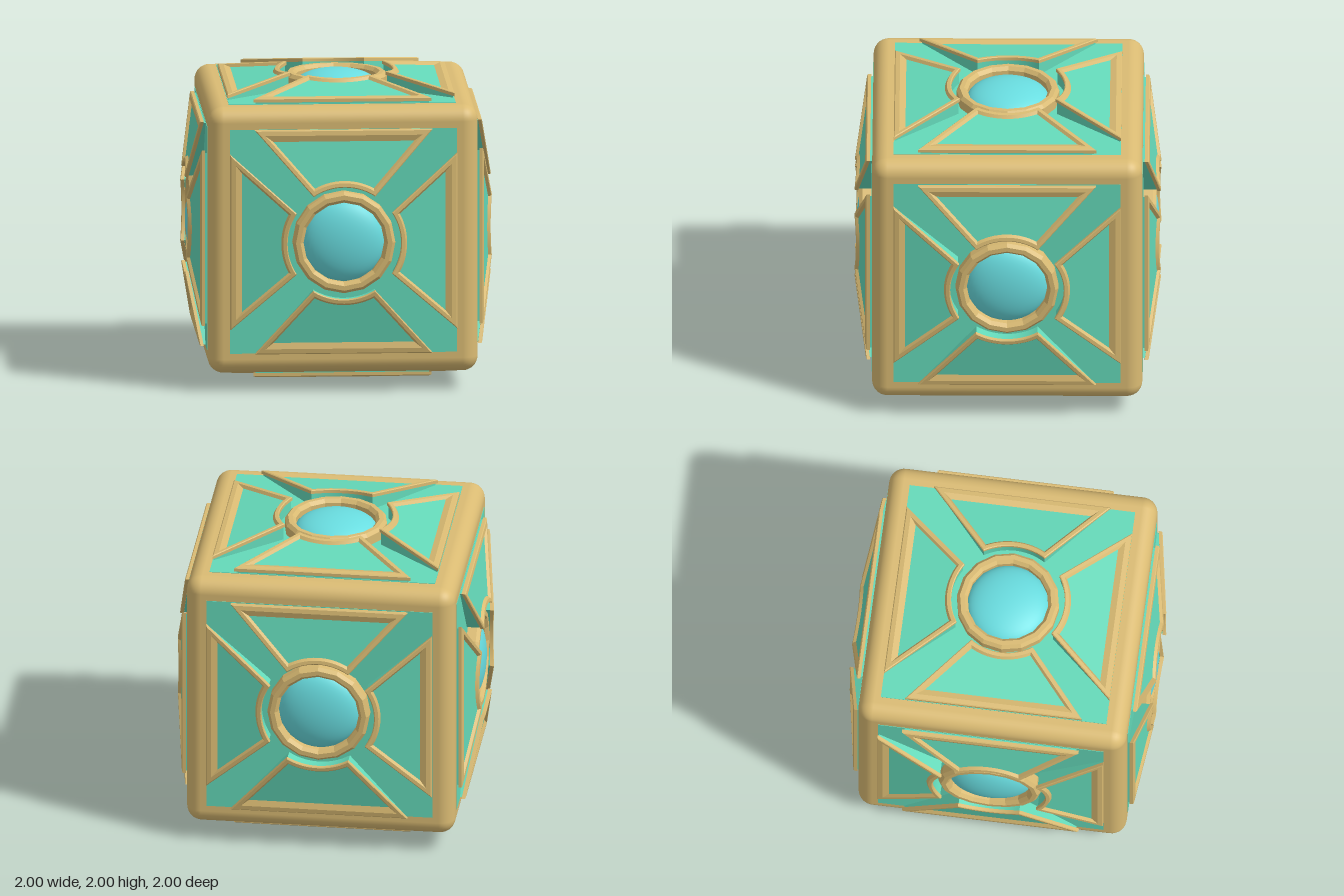
import * as THREE from 'three';
import { RoundedBoxGeometry } from 'three/addons/geometries/RoundedBoxGeometry.js';
import { toCreasedNormals } from 'three/addons/utils/BufferGeometryUtils.js';

const mat = (name, color) => {
  const m = new THREE.MeshStandardMaterial({ color });
  m.name = name;
  return m;
};

const N = 14; // steps along the outer edge and along the inner arc

// Plate outline: straight outer edge, slanted sides, concave inner arc.
// d insets the sides and arc, e insets the outer edge.
function outline(d, e) {
  const nx = 0.749, nz = 0.662, c = -0.0555 - d, R = 0.74 - e, rho = 0.37 + d;
  const half = (c + nz * R) / nx;
  const theta = Math.atan2(nz, nx) + Math.asin(c / rho);
  const pts = [];
  for (let i = 0; i <= N; i++) pts.push([-half + (2 * half * i) / N, R]);
  for (let i = 0; i <= N; i++) {
    const a = theta - (2 * theta * i) / N;
    pts.push([rho * Math.sin(a), rho * Math.cos(a)]);
  }
  return pts;
}

// The plates rise toward the middle of the face
const slope = (z) => 0.92 + (0.74 - z) * 0.186;
const ring = (d, e, lift) => outline(d, e).map(([x, z]) => [x, slope(z) + lift, z]);
const flatRing = (d, e, y) => outline(d, e).map(([x, z]) => [x, y, z]);

function quadsToGeometry(quads) {
  const v = [];
  for (const [a, b, c, d] of quads) v.push(...a, ...b, ...c, ...a, ...c, ...d);
  const g = new THREE.BufferGeometry();
  g.setAttribute('position', new THREE.Float32BufferAttribute(v, 3));
  return toCreasedNormals(g, 0.4);
}

function loft(rings) {
  const quads = [];
  for (let i = 0; i + 1 < rings.length; i++) {
    const p = rings[i], q = rings[i + 1];
    p.forEach((_, j) => {
      const k = (j + 1) % p.length;
      quads.push([p[j], p[k], q[k], q[j]]);
    });
  }
  return quads;
}

function cap(r) {
  const quads = [];
  const last = 2 * N + 1;
  for (let i = 0; i < N; i++) quads.push([r[i], r[i + 1], r[last - i - 1], r[last - i]]);
  return quads;
}

export function createModel() {
  const gold = mat('gold', 0xdabb73);
  const teal = mat('teal', 0x64d9b9);
  const blue = mat('blue', 0x69dde0);

  // Plate trim: raised rim with a wide inner bevel on the outer edge
  const trimGeo = quadsToGeometry(loft([
    ring(0.01, 0.01, -0.026),
    ring(0, 0, -0.026),
    ring(0, 0, -0.005),
    ring(0.006, 0.006, 0),
    ring(0.028, 0.035, 0),
    ring(0.042, 0.08, -0.02),
  ]));
  // Plate core: side walls and the sunken sloping panel
  const coreGeo = quadsToGeometry([
    ...loft([flatRing(0.007, 0.007, 0.875), ring(0.007, 0.007, -0.02)]),
    ...cap(ring(0.03, 0.04, -0.018)),
  ]);

  // Faceted bezel around the dome
  const profile = [[0.335, 0.87], [0.335, 0.945], [0.315, 0.968], [0.285, 0.968], [0.264, 0.945], [0.264, 0.88]];
  const bezelGeo = new THREE.LatheGeometry(profile.map(([x, y]) => new THREE.Vector2(x, y)), 16).toNonIndexed();
  bezelGeo.computeVertexNormals();

  const domeGeo = new THREE.SphereGeometry(0.27, 32, 12, 0, Math.PI * 2, 0, Math.PI / 2);
  domeGeo.scale(1, 0.105 / 0.27, 1);
  domeGeo.translate(0, 0.88, 0);

  const panelGeo = new THREE.BoxGeometry(1.48, 0.008, 1.48);
  panelGeo.translate(0, 0.879, 0);

  const add = (parent, name, geo, material) => {
    const mesh = new THREE.Mesh(geo, material);
    mesh.name = name;
    parent.add(mesh);
    return mesh;
  };

  const model = new THREE.Group();
  model.name = 'ornateCube';
  const cube = new THREE.Group();
  cube.name = 'cube';
  cube.position.y = 1;
  model.add(cube);

  add(cube, 'roundedFrame', new RoundedBoxGeometry(1.76, 1.76, 1.76, 5, 0.1), gold);

  // Six identical faces
  const h = Math.PI / 2;
  const faces = {
    top: [0, 0, 0], bottom: [Math.PI, 0, 0], front: [h, 0, 0],
    back: [-h, 0, 0], left: [0, 0, -h], right: [0, 0, h],
  };
  for (const [side, rot] of Object.entries(faces)) {
    const face = new THREE.Group();
    face.name = side + 'Face';
    face.rotation.set(...rot);
    add(face, 'facePanel', panelGeo, teal);
    add(face, 'domeBezel', bezelGeo, gold);
    add(face, 'dome', domeGeo, blue);
    for (let i = 0; i < 4; i++) {
      const plate = new THREE.Group();
      plate.name = 'plate' + (i + 1);
      plate.rotation.y = i * h;
      add(plate, 'plateCore', coreGeo, teal);
      add(plate, 'plateTrim', trimGeo, gold);
      face.add(plate);
    }
    cube.add(face);
  }
  return model;
}
